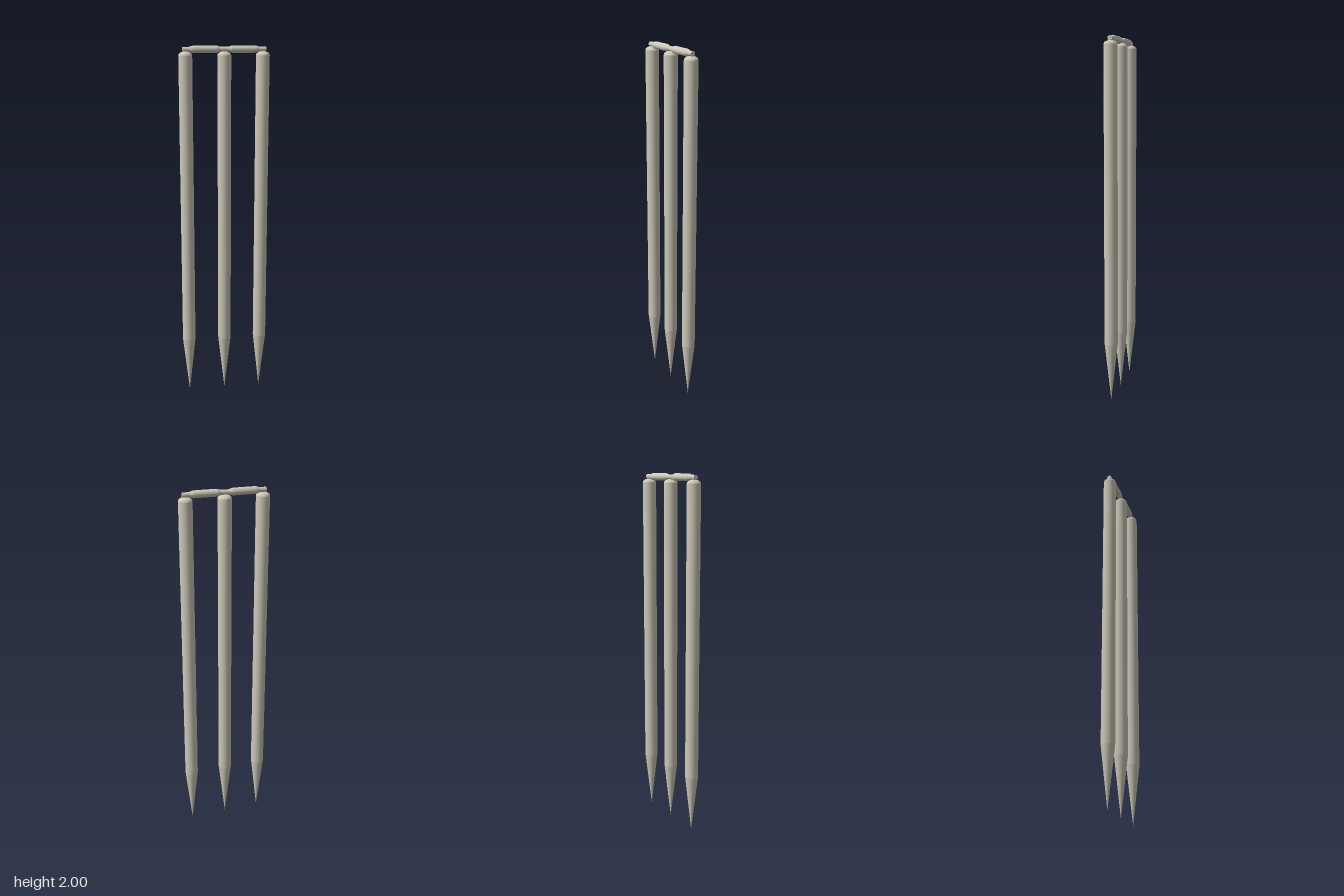
import * as THREE from 'three';

export function createModel() {
  const model = new THREE.Group();
  const wood = new THREE.MeshStandardMaterial({ color: 0xcdc8b9 });
  wood.name = 'pale wood';

  // Turn separate [radius, position] runs so the edges between runs stay crisp
  function turned(name, runs) {
    const part = new THREE.Group();
    part.name = name;
    for (const run of runs) {
      const points = run.map(([r, y]) => new THREE.Vector2(r, y));
      const mesh = new THREE.Mesh(new THREE.LatheGeometry(points, 32), wood);
      mesh.name = name + 'Section';
      part.add(mesh);
    }
    return part;
  }

  // Three upright stumps: pointed foot, straight shaft, domed top
  const R = 0.037;
  const dome = [];
  for (let i = 0; i <= 6; i++) {
    const a = (i / 6) * Math.PI / 2;
    dome.push([i === 6 ? 0 : R * Math.cos(a), 1.949 + 0.021 * Math.sin(a)]);
  }
  ['rightStump', 'middleStump', 'leftStump'].forEach((name, i) => {
    const stump = turned(name, [
      [[0, 0], [R, 0.33]],
      [[R, 0.33], [R, 1.949]],
      dome,
    ]);
    stump.position.x = (i - 1) * 0.209;
    model.add(stump);
  });

  // Two bails lying across the tops, thin at both ends
  const thin = 0.013, thick = 0.0195;
  for (const side of [-1, 1]) {
    const bail = turned(side < 0 ? 'rightBail' : 'leftBail', [
      [[0, -0.12], [thin, -0.12]],
      [[thin, -0.12], [thin, -0.085], [0.0145, -0.079], [0.018, -0.068], [thick, -0.06],
        [thick, 0.06], [0.018, 0.068], [0.0145, 0.079], [thin, 0.085], [thin, 0.12]],
      [[thin, 0.12], [0, 0.12]],
    ]);
    bail.rotation.z = -Math.PI / 2;
    bail.position.set(side * 0.105, 1.9805, 0);
    model.add(bail);
  }

  return model;
}
